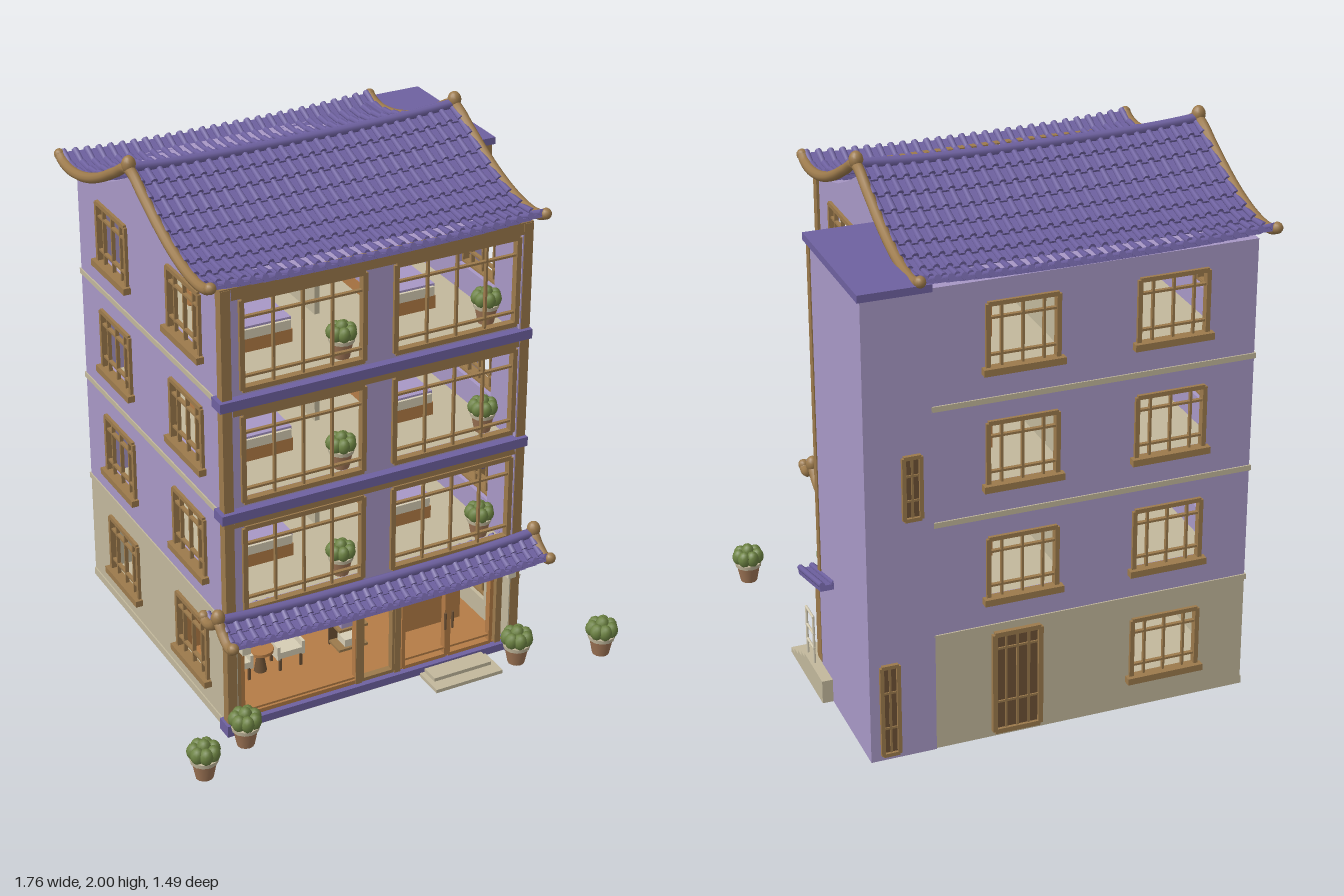
import * as THREE from 'three';
import { mergeGeometries } from 'three/addons/utils/BufferGeometryUtils.js';

const mat = (name, color, side = THREE.FrontSide) => {
  const m = new THREE.MeshStandardMaterial({ color, side });
  m.name = name;
  return m;
};

export function createModel() {
  const M = {
    wall: mat('lavender plaster', 0xa898c6), roof: mat('purple tile', 0x6e61a0),
    trim: mat('brown timber', 0x9c7a4c), stone: mat('cream stone', 0xc2b89c),
    wood: mat('orange wood', 0xb47c46), pale: mat('pale cloth', 0xd6cdb4),
    leaf: mat('leaf green', 0x6c8242), clay: mat('clay pot', 0xa07656),
    dark: mat('dark wood', 0x6e5236),
  };
  const root = new THREE.Group();
  root.name = 'townhouse';
  const group = (name, parent = root, x = 0, y = 0, z = 0) => {
    const g = new THREE.Group();
    g.name = name;
    g.position.set(x, y, z);
    parent.add(g);
    return g;
  };
  const add = (name, geo, m, parent = root, x = 0, y = 0, z = 0) => {
    const o = new THREE.Mesh(geo, m);
    o.name = name;
    o.position.set(x, y, z);
    parent.add(o);
    return o;
  };
  // Box given by its extents
  const box = (name, m, x0, x1, y0, y1, z0, z1, parent = root) =>
    add(name, new THREE.BoxGeometry(x1 - x0, y1 - y0, z1 - z0), m, parent, (x0 + x1) / 2, (y0 + y1) / 2, (z0 + z1) / 2);
  const cyl = (name, m, r0, r1, h, x, y, z, parent = root, n = 10) =>
    add(name, new THREE.CylinderGeometry(r0, r1, h, n), m, parent, x, y, z);

  // Wall panel with rectangular holes [u0, u1, v0, v1], 0.03 thick
  const wall = (name, m, u0, u1, v0, v1, holes) => {
    const rect = (p, [a, b, c, d]) => p.moveTo(a, c).lineTo(b, c).lineTo(b, d).lineTo(a, d).closePath();
    const s = rect(new THREE.Shape(), [u0, u1, v0, v1]);
    holes.forEach(h => s.holes.push(rect(new THREE.Path(), h)));
    return add(name, new THREE.ExtrudeGeometry(s, { depth: 0.03, bevelEnabled: false }), m);
  };
  // Frame with bars at given fractions, facing local +z
  const lattice = (name, w, h, vs, hs, t = 0.016, sill = true, m = M.trim) => {
    const g = group(name);
    for (const s of [-1, 1]) {
      box('frameSide', m, s * w / 2 - t / 2, s * w / 2 + t / 2, -h / 2, h / 2, -0.015, 0.012, g);
      box('frameRail', m, -w / 2, w / 2, s * h / 2 - t / 2, s * h / 2 + t / 2, -0.015, 0.012, g);
    }
    vs.forEach(v => box('mullion', m, (v - 0.5) * w - 0.004, (v - 0.5) * w + 0.004, -h / 2, h / 2, -0.008, 0.006, g));
    hs.forEach(v => box('bar', m, -w / 2, w / 2, (v - 0.5) * h - 0.004, (v - 0.5) * h + 0.004, -0.008, 0.006, g));
    if (sill) box('sill', m, -w / 2 - 0.02, w / 2 + 0.02, -h / 2 - 0.015, -h / 2 + 0.01, -0.01, 0.028, g);
    return g;
  };
  const place = (g, x, y, z, ry = 0) => { g.position.set(x, y, z); g.rotation.y = ry; return g; };
  const W = 0.25, H = 0.235, floors = [0.47, 0.905, 1.335];

  // Outer walls: stone below, plaster above
  const hole = (u, y) => [u - W / 2, u + W / 2, y - H / 2, y + H / 2];
  const win = y => y + 0.205;
  const levels = [0.03, ...floors];
  const wy = i => i ? win(floors[i - 1]) : 0.24;
  const sideWall = (name, x, sign, us) => {
    [[0.0, 0.455, [0]], [0.455, 1.74, [1, 2, 3]]].forEach(([a, b, ls], k) => {
      // rotated so that u runs along -z
      const w = wall(name, k ? M.wall : M.stone, -0.5, 0.71, a, b, ls.flatMap(l => us.map(z => hole(-z, wy(l)))));
      w.rotation.y = Math.PI / 2;
      w.position.x = sign > 0 ? x - 0.03 : x;
    });
    levels.forEach((_, l) => us.forEach(z =>
      place(lattice('sideWindow', W, H, [0.2, 0.5, 0.8], [0.22, 0.78]), x, wy(l), z, sign * Math.PI / 2)));
  };
  sideWall('rightHandWall', 0.54, 1, [0.2]);
  sideWall('leftHandWall', -0.63, -1, [0.2, -0.4]);
  const backX = [0.22, -0.32];
  wall('backWallLower', M.stone, -0.63, 0.54, 0, 0.455, [hole(-0.32, 0.24)]).position.z = -0.71;
  wall('backWallUpper', M.wall, -0.63, 0.54, 0.455, 1.74,
    [1, 2, 3].flatMap(l => backX.map(x => hole(x, wy(l))))).position.z = -0.71;
  for (let l = 0; l < 4; l++) for (const x of backX) if (l || x < 0)
    place(lattice('backWindow', W, H, [0.2, 0.5, 0.8], [0.22, 0.78]), x, wy(l), -0.71, Math.PI);
  box('backDoorLeaf', M.dark, 0.16, 0.32, 0.03, 0.41, -0.716, -0.705);
  place(lattice('backDoor', 0.17, 0.39, [0.25, 0.5, 0.75], [0.3, 0.85], 0.018, false), 0.24, 0.22, -0.715, Math.PI);

  // Front wall with big windows
  const big = floors.flatMap(f => [[-0.56, -0.1, f + 0.025, f + 0.355], [0.02, 0.5, f + 0.025, f + 0.355]]);
  wall('frontWall', M.wall, -0.63, 0.54, 0.455, 1.74, big).position.z = 0.455;
  big.forEach(([a, b, c, d]) => place(
    lattice('frontWindow', b - a, d - c, [0.26, 0.5, 0.74], [0.14, 0.8], 0.018, false), (a + b) / 2, (c + d) / 2, 0.485));
  for (const x of [-0.622, 0.532]) {
    box('cornerColumn', M.trim, x - 0.018, x + 0.018, 0.04, 1.74, 0.465, 0.502);
    box('columnBase', M.roof, x - 0.028, x + 0.028, 0, 0.045, 0.45, 0.515);
  }
  box('eaveBeam', M.trim, -0.64, 0.55, 1.7, 1.745, 0.46, 0.5);
  for (const f of floors) {
    box('floorSlab', M.stone, -0.635, 0.545, f - 0.035, f - 0.015, -0.715, 0.48);
    if (f > 0.5) {
      box('frontBand', M.roof, -0.655, 0.552, f - 0.032, f + 0.004, 0.45, 0.518);
      box('bandBeam', M.trim, -0.63, 0.54, f - 0.065, f - 0.032, 0.46, 0.5);
    }
  }
  box('baseSlab', M.stone, -0.635, 0.545, 0, 0.03, -0.71, 0.49);
  box('basePlinth', M.roof, -0.63, 0.54, 0.006, 0.036, 0.47, 0.497);
  box('ceiling', M.wall, -0.63, 0.54, 1.72, 1.74, -0.7, 0.47);

  // Potted plant
  const plant = (x, y, z, s = 1) => {
    const g = group('pottedPlant', root, x, y, z);
    g.scale.setScalar(s);
    cyl('pot', M.clay, 0.046, 0.032, 0.07, 0, 0.035, 0, g, 12);
    cyl('potRim', M.stone, 0.052, 0.05, 0.016, 0, 0.073, 0, g, 12);
    for (let i = 0; i < 8; i++) {
      const a = i * Math.PI * 2 / 7, r = i < 7 ? 0.036 : 0;
      const leaf = add('foliage', new THREE.IcosahedronGeometry(0.026, 1), M.leaf, g, Math.cos(a) * r, i < 7 ? 0.106 : 0.122, Math.sin(a) * r);
      leaf.scale.y = 1.25;
    }
  };
  [[-0.82, 0.68], [-0.61, 0.575], [0.505, 0.575], [0.815, 0.67]].forEach(([x, z]) => plant(x, 0, z));

  // Bedrooms
  for (const f of floors) {
    box('roomPartition', M.stone, -0.05, -0.03, f - 0.015, f + 0.385, -0.68, 0.03);
    for (const x of [-0.32, 0.25]) {
      const g = group('bed', root, x, f - 0.015, 0);
      box('headboard', M.wood, -0.095, 0.095, 0, 0.2, -0.26, -0.235, g);
      box('bedBase', M.wood, -0.095, 0.095, 0.01, 0.06, -0.235, 0.2, g);
      box('mattress', M.pale, -0.09, 0.09, 0.06, 0.095, -0.235, 0.2, g);
      box('blanket', M.wall, -0.095, 0.095, 0.062, 0.103, -0.1, 0.19, g);
      box('pillow', M.pale, -0.06, 0.06, 0.095, 0.12, -0.22, -0.14, g);
    }
    for (const x of [-0.15, 0.42]) plant(x, f + 0.02, 0.42, 0.9);
  }

  // Shop interior
  box('shopFloor', M.wood, -0.6, 0.51, 0.03, 0.04, -0.02, 0.47);
  box('shopBackWall', M.wood, -0.6, 0.51, 0.03, 0.435, -0.03, -0.01);
  for (const x of [-0.49, -0.28]) {
    const c = group('armchair', root, x, 0.04, 0.24);
    box('seat', M.pale, -0.045, 0.045, 0.055, 0.08, -0.045, 0.045, c);
    box('backrest', M.pale, -0.045, 0.045, 0.07, 0.17, -0.055, -0.035, c);
    for (const s of [-1, 1]) {
      box('armrest', M.pale, s * 0.05 - 0.006, s * 0.05 + 0.006, 0.05, 0.105, -0.045, 0.045, c);
      for (const t of [-1, 1]) box('chairLeg', M.dark, s * 0.042 - 0.005, s * 0.042 + 0.005, 0, 0.056, t * 0.036 - 0.005, t * 0.036 + 0.005, c);
    }
  }
  cyl('tableTop', M.wood, 0.05, 0.05, 0.012, -0.385, 0.13, 0.24, root, 16);
  cyl('tableLeg', M.dark, 0.01, 0.025, 0.09, -0.385, 0.083, 0.24);
  box('shelfBack', M.dark, -0.085, 0.035, 0.04, 0.4, 0.2, 0.21);
  for (let i = 0; i < 5; i++) box('shelf', M.trim, -0.085, 0.035, 0.05 + i * 0.085, 0.06 + i * 0.085, 0.21, 0.29);
  box('shelfBox', M.wall, -0.07, 0.02, 0.145, 0.205, 0.22, 0.28);
  [0.06, 0.23, 0.315].forEach(y => box('shelfGoods', M.pale, -0.055, 0.005, y, y + 0.03, 0.22, 0.28));
  box('counter', M.wood, 0.2, 0.44, 0.04, 0.19, 0.15, 0.27);
  box('counterTop', M.trim, 0.19, 0.45, 0.19, 0.2, 0.14, 0.28);
  box('monitor', M.roof, 0.34, 0.41, 0.215, 0.265, 0.19, 0.2);
  box('monitorStand', M.dark, 0.37, 0.38, 0.2, 0.22, 0.185, 0.2);
  box('wallRack', M.dark, 0.29, 0.45, 0.22, 0.36, -0.01, 0.0);
  for (let i = 0; i < 15; i++) {
    const x = 0.3 + (i % 5) * 0.03, y = 0.23 + Math.floor(i / 5) * 0.045;
    box('rackItem', M.pale, x, x + 0.016, y, y + 0.026, 0, 0.015);
  }
  [[-0.41, 0.3], [-0.24, 0.28], [-0.15, 0.18], [0.15, 0.33]].forEach(([x, y], i) =>
    add('wallDisc', new THREE.CylinderGeometry(0.036 - (i % 2) * 0.012, 0.036 - (i % 2) * 0.012, 0.01, 20).rotateX(Math.PI / 2), M.pale, root, x, y, -0.002));

  // Shop front
  place(lattice('shopWindow', 0.46, 0.36, [], [0.04], 0.016, false, M.wood), -0.34, 0.225, 0.465);
  place(lattice('shelfBay', 0.13, 0.36, [], [], 0.014, false), -0.025, 0.225, 0.465);
  for (const x of [0.17, 0.36]) place(lattice('shopDoor', 0.18, 0.36, [], [0.08], 0.014, false, M.wood), x, 0.225, 0.465);
  for (const x of [0.25, 0.28]) cyl('doorHandle', M.dark, 0.005, 0.005, 0.07, x, 0.2, 0.485, root, 8);
  for (const x of [-0.59, -0.105, 0.055, 0.48]) box('shopPost', M.trim, x - 0.012, x + 0.012, 0.035, 0.42, 0.45, 0.48);
  box('shopBeam', M.trim, -0.63, 0.54, 0.405, 0.455, 0.455, 0.495);
  box('lowerStep', M.stone, 0.14, 0.42, 0, 0.014, 0.49, 0.62);
  box('upperStep', M.stone, 0.16, 0.4, 0.014, 0.028, 0.49, 0.57);
  for (const x of [-0.58, 0.5]) {
    box('lantern', M.pale, x - 0.016, x + 0.016, 0.34, 0.395, 0.502, 0.534);
    box('lanternCap', M.trim, x - 0.02, x + 0.02, 0.395, 0.403, 0.498, 0.538);
    cyl('lanternCord', M.dark, 0.003, 0.003, 0.05, x, 0.425, 0.518, root, 6);
  }

  // Curved tiled gable roof; profile is [distance from ridge, height]
  const tiledRoof = (name, cx, half, zc, profile, rows, cols, sag, r) => {
    const g = group(name, root, cx, 0, zc);
    const pt = profile.map(([d, y]) => new THREE.Vector3(0, y, d));
    const curve = new THREE.CatmullRomCurve3(pt);
    const lift = x => sag * (Math.pow(Math.abs(x / half), 3) - 1);
    const pans = [], caps = [], pitch = (2 * half - 0.03) / cols;
    for (const s of [-1, 1]) for (let i = 0; i < rows; i++) {
      const p = curve.getPointAt(i / rows), q = curve.getPointAt((i + 1) / rows);
      const len = p.distanceTo(q) * 1.12, ang = s * Math.atan2(p.y - q.y - 0.008, q.z - p.z);
      for (let j = 0; j <= cols; j++) {
        const x = -half + 0.015 + j * pitch, y = (p.y + q.y) / 2, z = s * (p.z + q.z) / 2;
        const put = (list, geo, dx, dy) => list.push(geo.rotateX(ang).translate(x + dx, y + dy + lift(x + dx), z));
        if (j < cols) put(pans, new THREE.BoxGeometry(pitch * 1.05, 0.012, len), pitch / 2, 0);
        const lo = 0.013, hi = 0.01;
        put(caps, new THREE.CylinderGeometry(s > 0 ? lo : hi, s > 0 ? hi : lo, len, 7).rotateX(Math.PI / 2), 0, 0.009);
      }
    }
    add('panTiles', mergeGeometries(pans), M.roof, g);
    add('capTiles', mergeGeometries(caps), M.roof, g);
    const ridge = [];
    for (let i = 0; i <= 12; i++) {
      const x = -half + i * half / 6;
      ridge.push(new THREE.Vector3(x, profile[0][1] + 0.01 + lift(x), 0));
    }
    add('ridge', new THREE.TubeGeometry(new THREE.CatmullRomCurve3(ridge), 24, r, 8), M.roof, g);
    // Curved timber verges with ball ends
    const verge = [...pt.slice(1).reverse().map(p => new THREE.Vector3(0, p.y, -p.z)), ...pt];
    for (const s of [-1, 1]) {
      add('verge', new THREE.TubeGeometry(new THREE.CatmullRomCurve3(verge), 60, r * 1.05, 10), M.trim, g, s * half, 0.004, 0);
      add('ridgeBall', new THREE.SphereGeometry(r * 1.4, 14, 10), M.trim, g, s * half, profile[0][1] + 0.022, 0).scale.y = 1.25;
      for (const t of [-1, 1]) add('vergeBall', new THREE.SphereGeometry(r * 1.15, 12, 8), M.trim, g, s * half, pt.at(-1).y + 0.004, t * pt.at(-1).z);
    }
  };
  const main = [[0, 1.95], [0.12, 1.893], [0.23, 1.835], [0.34, 1.788], [0.45, 1.757], [0.54, 1.748], [0.6, 1.757], [0.628, 1.772]];
  tiledRoof('mainRoof', -0.053, 0.633, -0.1, main, 9, 27, 0.02, 0.018);
  tiledRoof('shopCanopy', -0.053, 0.635, 0.535, [[0, 0.505], [0.035, 0.475], [0.075, 0.452], [0.105, 0.452], [0.118, 0.464]], 3, 27, 0.02, 0.018);

  // Gable fill beneath the main roof
  const gable = new THREE.Shape();
  gable.moveTo(-0.6, 1.735).lineTo(0.6, 1.735);
  [...main.slice(0, 5)].reverse().forEach(([d, y]) => gable.lineTo(d, y - 0.025));
  main.slice(1, 5).forEach(([d, y]) => gable.lineTo(-d, y - 0.025));
  const gm = add('gable', new THREE.ExtrudeGeometry(gable, { depth: 1.17, bevelEnabled: false }), M.wall, root, 0.54, 0, -0.105);
  gm.rotation.y = -Math.PI / 2;

  // Stair tower
  box('stairTower', M.wall, 0.54, 0.78, 0, 1.74, -0.715, -0.17);
  box('towerRoof', M.roof, 0.54, 0.795, 1.738, 1.765, -0.735, -0.16);
  box('towerBeam', M.trim, 0.54, 0.78, 1.71, 1.738, -0.18, -0.164);
  box('towerPost', M.trim, 0.758, 0.784, 0.45, 1.738, -0.195, -0.164);
  box('towerInnerPost', M.trim, 0.54, 0.556, 0.45, 1.738, -0.18, -0.164);
  for (const f of floors) place(lattice('towerWindow', 0.11, 0.16, [0.5], [], 0.016), 0.65, f + 0.195, -0.168);
  const slit = (name, x, y, h) => {
    box(name + 'Panel', M.dark, x - 0.03, x + 0.03, y - h / 2, y + h / 2, -0.719, -0.712);
    place(lattice(name, 0.06, h, [0.5], [0.3, 0.7], 0.014, false), x, y, -0.717, Math.PI);
  };
  slit('towerBackWindow', 0.615, 1.04, 0.23);
  slit('towerBackDoor', 0.708, 0.2, 0.35);

  // Side entrance
  box('landing', M.stone, 0.545, 0.82, 0, 0.09, -0.29, -0.08);
  for (let i = 0; i < 4; i++) box('entranceStep', M.stone, 0.58, 0.82, 0, 0.073 - i * 0.018, -0.08, -0.037 + i * 0.043);
  box('entranceDoor', M.pale, 0.64, 0.72, 0.09, 0.41, -0.171, -0.163);
  place(lattice('entranceFrame', 0.1, 0.32, [0.5], [0.35], 0.016, false), 0.68, 0.25, -0.162);
  for (const x of [0.6, 0.765]) box('porchPost', M.trim, x - 0.014, x + 0.014, 0.09, 0.45, -0.16, -0.11);
  const porch = group('porchRoof', root, 0.71, 0.467, -0.21);
  porch.rotation.x = 0.245;
  box('porchSlab', M.roof, -0.115, 0.12, -0.01, 0.01, -0.135, 0.135, porch);
  for (let i = 0; i < 6; i++)
    add('porchRib', new THREE.CylinderGeometry(0.011, 0.011, 0.275, 8).rotateX(Math.PI / 2), M.roof, porch, -0.108 + i * 0.044, 0.012, 0);
  for (const x of [0.7, 0.805]) {
    for (const z of [-0.075, -0.155]) cyl('railPost', M.pale, 0.005, 0.005, 0.19, x, 0.185, z, root, 8);
    for (const y of [0.15, 0.21, 0.28]) add('railBar', new THREE.CylinderGeometry(0.005, 0.005, 0.09, 8).rotateX(Math.PI / 2), M.pale, root, x, y, -0.115);
  }
  return root;
}
